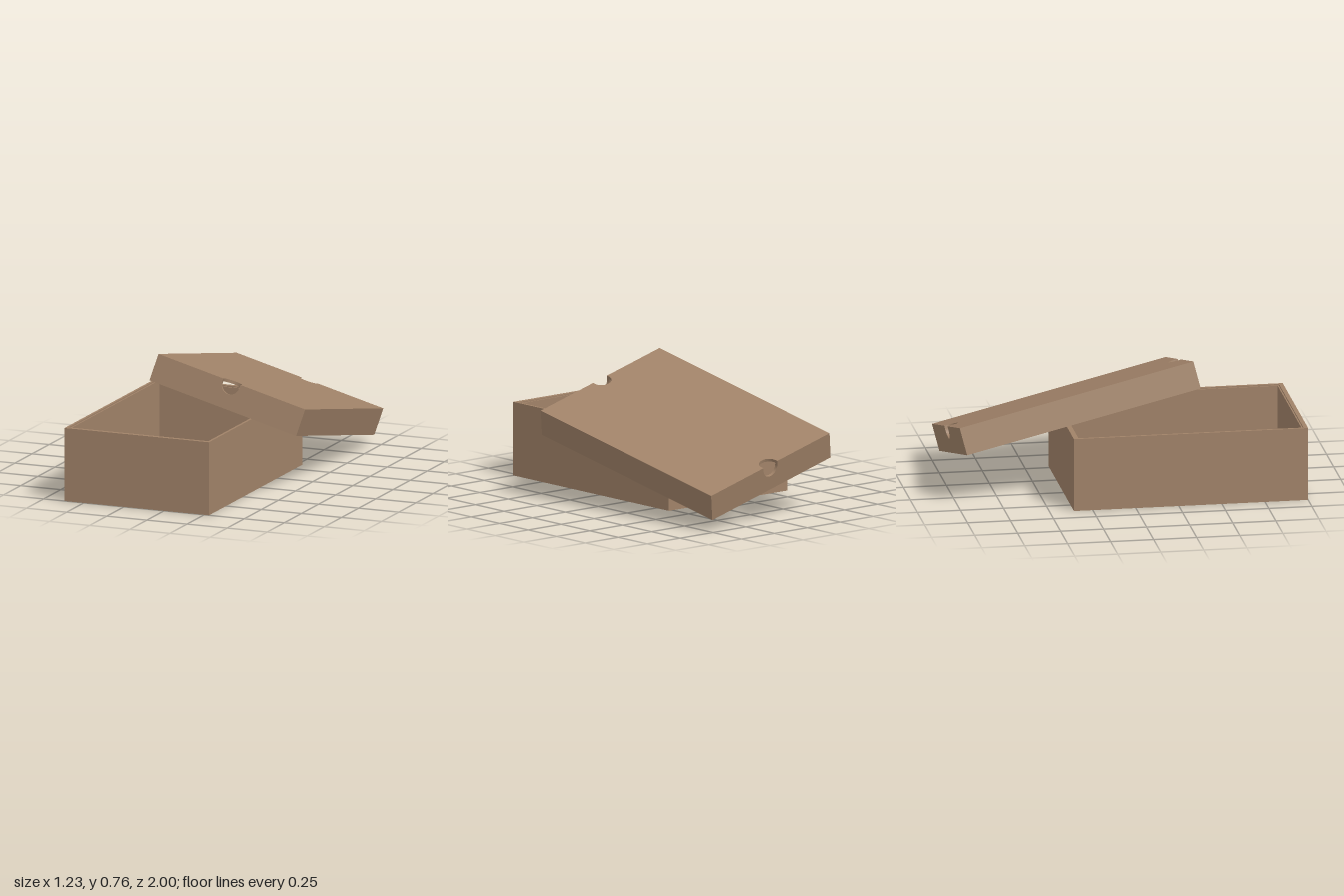
import * as THREE from 'three';

const cardboard = new THREE.MeshStandardMaterial({ color: 0xa08268 });
cardboard.name = 'cardboard';

const NOTCH = 0.055; // thumb notch radius

function add(parent, name, geometry, x = 0, y = 0, z = 0) {
  const mesh = new THREE.Mesh(geometry, cardboard);
  mesh.name = name;
  mesh.position.set(x, y, z);
  parent.add(mesh);
  return mesh;
}

const box = (w, h, d) => new THREE.BoxGeometry(w, h, d);

// Rectangle with a rounded thumb notch in its top edge, and optionally its bottom edge
function notchedPlate(w, h, thickness, straight, both) {
  const s = new THREE.Shape();
  const x = w / 2, y = h / 2;
  s.moveTo(-x, -y);
  if (both) {
    s.lineTo(-NOTCH, -y);
    s.lineTo(-NOTCH, -y + straight);
    s.absarc(0, -y + straight, NOTCH, Math.PI, 0, true);
    s.lineTo(NOTCH, -y);
  }
  s.lineTo(x, -y);
  s.lineTo(x, y);
  s.lineTo(NOTCH, y);
  s.lineTo(NOTCH, y - straight);
  s.absarc(0, y - straight, NOTCH, 0, Math.PI, true);
  s.lineTo(-NOTCH, y);
  s.lineTo(-x, y);
  s.closePath();
  const g = new THREE.ExtrudeGeometry(s, { depth: thickness, bevelEnabled: false, curveSegments: 20 });
  return g.translate(0, 0, -thickness / 2);
}

// Open tray with a folded inner liner just below the rim
function createBase() {
  const base = new THREE.Group();
  base.name = 'boxBase';
  const w = 0.9, h = 0.43, d = 1.36, t = 0.015, floor = 0.018;
  const wallH = h - floor, wallY = floor + wallH / 2;
  add(base, 'floor', box(w, floor, d), 0, floor / 2);
  for (const s of [-1, 1]) {
    add(base, 'endWall', box(w, wallH, 0.025), 0, wallY, s * (d / 2 - 0.0125));
    add(base, 'sideWall', box(t, wallH, d - 0.05), s * (w / 2 - t / 2), wallY);
    add(base, 'endLiner', box(w - 2 * t, wallH - 0.008, 0.008), 0, wallY - 0.004, s * (d / 2 - 0.029));
    add(base, 'sideLiner', box(0.008, wallH - 0.008, d - 0.066), s * (w / 2 - t - 0.004), wallY - 0.004);
  }
  base.position.set(-0.17, 0, 0.32);
  return base;
}

// Shallow lid, its top face on local y = 0, open underneath
function createLid() {
  const lid = new THREE.Group();
  lid.name = 'boxLid';
  const w = 0.942, h = 0.161, d = 1.41, t = 0.018;
  const wallH = h - t, wallY = -t - wallH / 2;
  add(lid, 'lidTop', notchedPlate(w, d, t, 0.015, true), 0, -t / 2).rotation.x = -Math.PI / 2;
  for (const s of [-1, 1]) {
    add(lid, 'lidEndWall', notchedPlate(w, wallH, t, 0.002, false), 0, wallY, s * (d / 2 - t / 2));
    add(lid, 'lidSideWall', box(t, wallH, d - 2 * t), s * (w / 2 - t / 2), wallY);
    add(lid, 'lidSideLiner', box(0.008, wallH - 0.008, d - 2 * t), s * (w / 2 - t - 0.004), wallY + 0.004);
  }
  // Lid leans across the back right corner of the base
  const right = new THREE.Vector3(0.91, -0.245, -0.012).normalize();
  const front = new THREE.Vector3(0.104, 0.302, 1.375).normalize();
  const up = front.clone().cross(right).normalize();
  front.crossVectors(right, up);
  lid.quaternion.setFromRotationMatrix(new THREE.Matrix4().makeBasis(right, up, front));
  lid.position.set(0.108, 0.4885, -0.306);
  return lid;
}

export function createModel() {
  const model = new THREE.Group();
  model.name = 'openCardboardBox';
  model.add(createBase(), createLid());
  return model;
}
